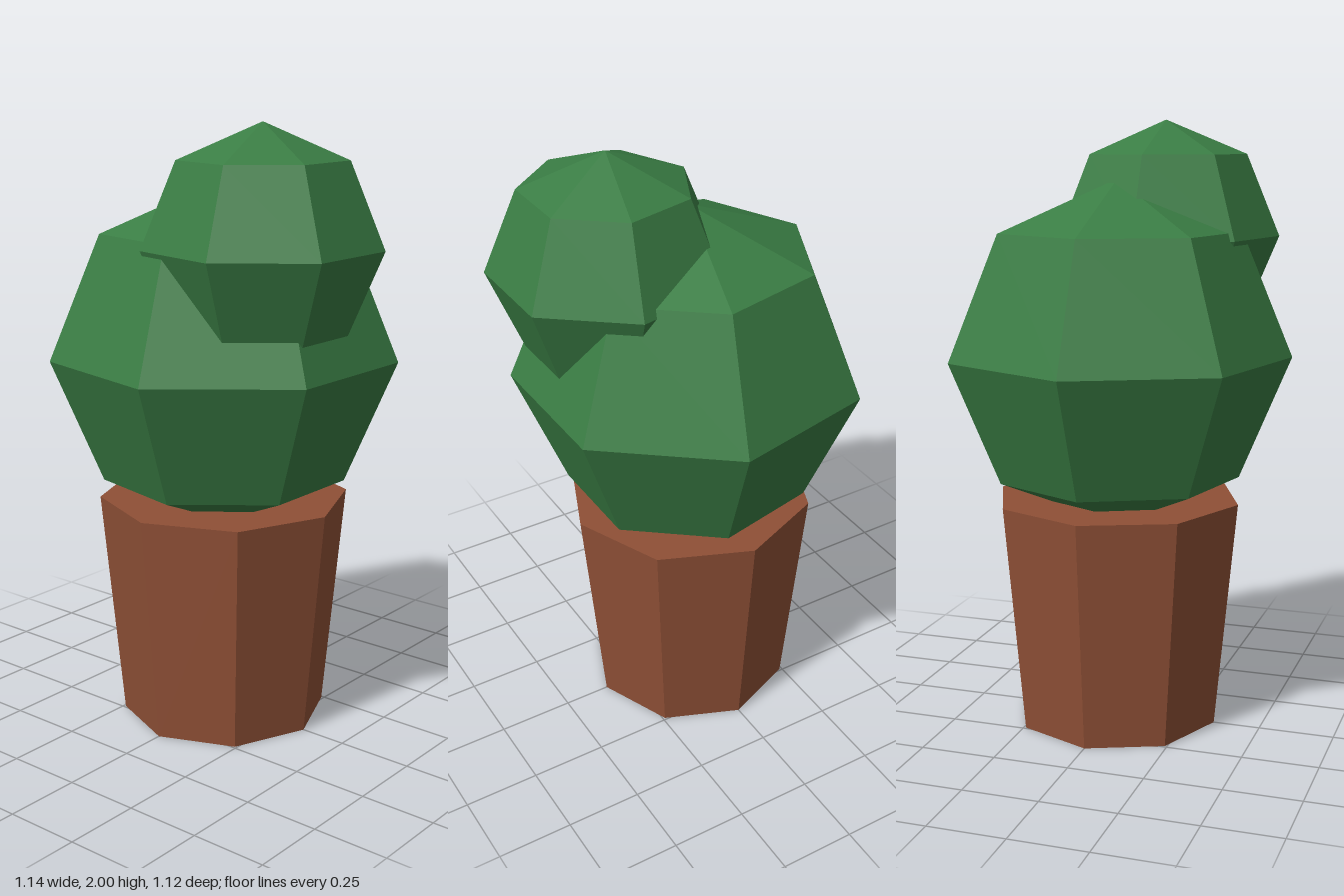
import * as THREE from 'three';

export function createModel() {
  const group = new THREE.Group();

  const green = new THREE.MeshStandardMaterial({ color: 0x3a7d44 });
  green.name = 'cactusGreen';
  const clay = new THREE.MeshStandardMaterial({ color: 0x8f5036 });
  clay.name = 'clay';

  // Facets come from split vertices with one normal per face
  const addPart = (name, geometry, material, x, y, z) => {
    const faceted = geometry.toNonIndexed();
    faceted.computeVertexNormals();
    const mesh = new THREE.Mesh(faceted, material);
    mesh.name = name;
    mesh.position.set(x, y, z);
    group.add(mesh);
  };

  // Tapered eight-sided pot
  const potHeight = 0.763;
  addPart('pot', new THREE.CylinderGeometry(0.415, 0.343, potHeight, 8), clay, 0, potHeight / 2, 0);

  // Seven-sided cactus body sunk into the pot, with a smaller bud on top
  addPart('cactusBody', new THREE.SphereGeometry(0.572, 7, 4), green, 0, 1.24, 0);
  addPart('cactusBud', new THREE.SphereGeometry(0.381, 7, 4), green, 0.228, 1.619, 0.095);

  return group;
}
